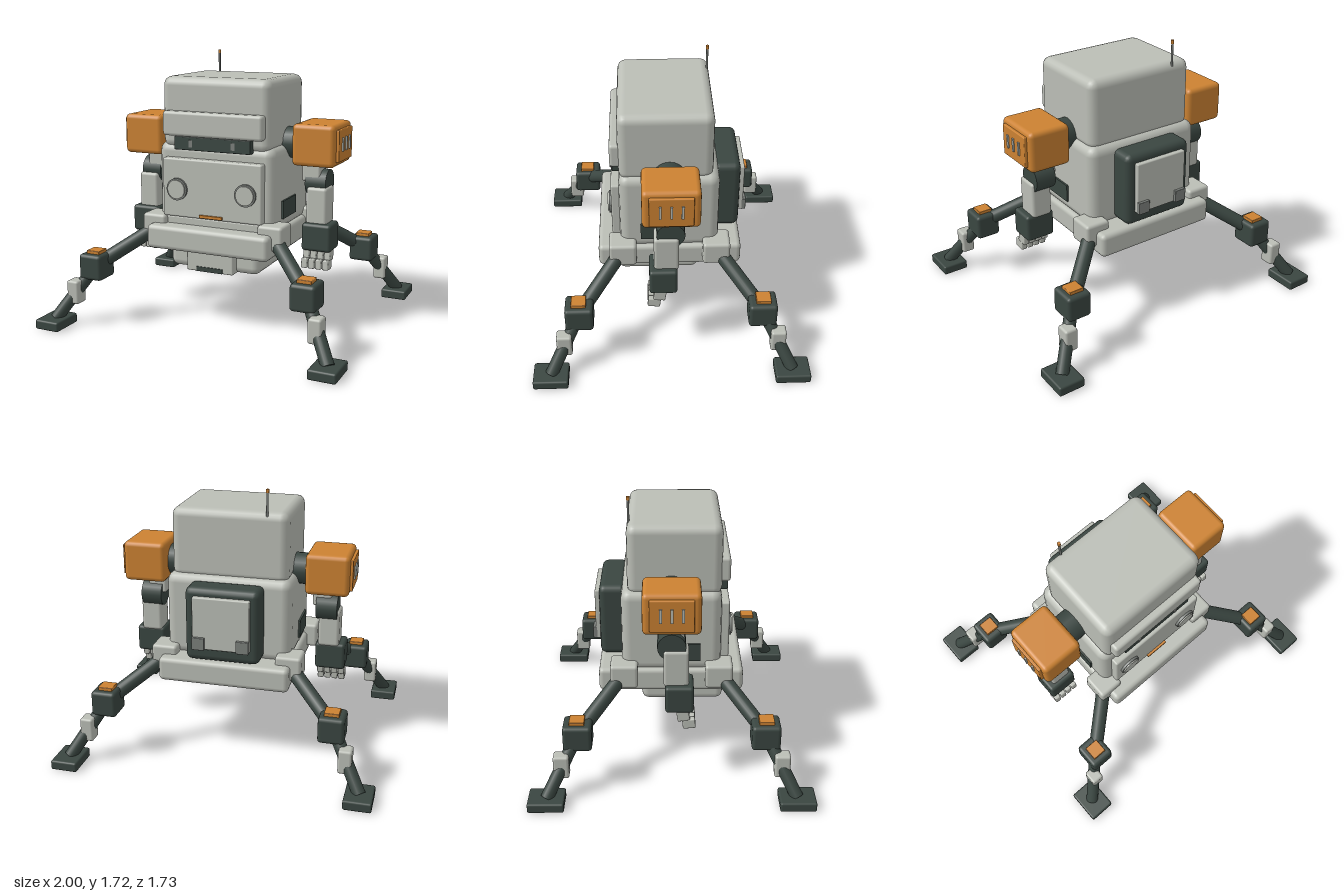
import * as THREE from 'three';
import { RoundedBoxGeometry } from 'three/addons/geometries/RoundedBoxGeometry.js';

const mat = (name, color) => {
  const m = new THREE.MeshStandardMaterial({ color });
  m.name = name;
  return m;
};

export function createModel() {
  const shell = mat('shell grey', 0xbbbeb6);
  const dark = mat('dark green grey', 0x3a4641);
  const orange = mat('orange', 0xcc8232);
  const metal = mat('metal grey', 0x7c807c);

  const root = new THREE.Group();
  root.name = 'robot';

  const add = (parent, name, geometry, material, x = 0, y = 0, z = 0) => {
    const mesh = new THREE.Mesh(geometry, material);
    mesh.name = name;
    mesh.position.set(x, y, z);
    parent.add(mesh);
    return mesh;
  };
  // Softened box given by its extents: [x0, x1], [y0, y1], [z0, z1]
  const block = (parent, name, material, [x0, x1], [y0, y1], [z0, z1], r = 0.015) => {
    const w = x1 - x0, h = y1 - y0, d = z1 - z0;
    const geo = r > 0 ? new RoundedBoxGeometry(w, h, d, 2, r) : new THREE.BoxGeometry(w, h, d);
    return add(parent, name, geo, material, (x0 + x1) / 2, (y0 + y1) / 2, (z0 + z1) / 2);
  };
  // Round bar between two points
  const bar = (parent, name, material, a, b, r) => {
    const p = new THREE.Vector3(...a), q = new THREE.Vector3(...b);
    const dir = q.clone().sub(p);
    const mesh = add(parent, name, new THREE.CylinderGeometry(r, r, dir.length(), 20), material);
    mesh.position.copy(p).add(q).multiplyScalar(0.5);
    mesh.quaternion.setFromUnitVectors(new THREE.Vector3(0, 1, 0), dir.normalize());
    return mesh;
  };
  const group = (name) => {
    const g = new THREE.Group();
    g.name = name;
    root.add(g);
    return g;
  };

  // Head with brow, visor and antenna
  const head = group('head');
  block(head, 'headShell', shell, [-0.37, 0.37], [1.13, 1.582], [-0.27, 0.31], 0.055);
  block(head, 'brow', shell, [-0.34, 0.34], [1.215, 1.37], [0.27, 0.36], 0.02);
  block(head, 'visor', dark, [-0.26, 0.26], [1.13, 1.215], [0.27, 0.35], 0.005);
  for (const s of [-1, 1]) {
    block(head, 'visorSlit', metal, [s * 0.145 - 0.012, s * 0.145 + 0.012], [1.15, 1.195], [0.345, 0.355], 0);
  }
  bar(head, 'antenna', metal, [-0.235, 1.5, -0.257], [-0.235, 1.7, -0.257], 0.007);
  bar(head, 'antennaTip', orange, [-0.235, 1.7, -0.257], [-0.235, 1.722, -0.257], 0.01);

  // Torso with front panel, round lamps and side vents
  const torso = group('torso');
  block(torso, 'torsoShell', shell, [-0.4, 0.4], [0.63, 1.17], [-0.31, 0.31], 0.06);
  block(torso, 'frontPanel', shell, [-0.34, 0.34], [0.7, 1.075], [0.27, 0.36], 0.012);
  block(torso, 'lowerCollar', shell, [-0.33, 0.33], [0.63, 0.7], [0.2, 0.345], 0.01);
  block(torso, 'mouthStrip', orange, [-0.078, 0.078], [0.71, 0.728], [0.355, 0.375], 0);
  for (const s of [-1, 1]) {
    bar(torso, 'lampRing', metal, [s * 0.235, 0.88, 0.35], [s * 0.235, 0.88, 0.375], 0.071);
    bar(torso, 'lampLens', shell, [s * 0.235, 0.88, 0.355], [s * 0.235, 0.88, 0.383], 0.06);
    const vent = block(torso, 'sideVent', dark, [-0.015, 0.015], [0.71, 0.825], [-0.04, 0.18], 0);
    vent.position.x = s * 0.397;
  }

  // Backpack
  const pack = group('backpack');
  block(pack, 'packShell', dark, [-0.235, 0.235], [0.66, 1.135], [-0.452, -0.28], 0.04);
  block(pack, 'packPlate', shell, [-0.18, 0.18], [0.75, 1.085], [-0.482, -0.43], 0.008);
  for (const s of [-1, 1]) {
    const clip = block(pack, 'packClip', metal, [-0.04, 0.04], [0.75, 0.83], [-0.5, -0.47], 0.004);
    clip.position.x = s * 0.14;
  }

  // Hip deck and belly
  const hips = group('hips');
  block(hips, 'deck', shell, [-0.418, 0.418], [0.497, 0.652], [-0.455, 0.45], 0.03);
  block(hips, 'belly', shell, [-0.31, 0.31], [0.365, 0.54], [-0.19, 0.33], 0.045);
  block(hips, 'bellyPlate', shell, [-0.16, 0.16], [0.368, 0.51], [0.29, 0.388], 0.008);
  block(hips, 'bellySlot', dark, [-0.09, 0.09], [0.37, 0.4], [0.38, 0.393], 0);

  // Arms, mirrored by the sign of x
  for (const s of [-1, 1]) {
    const arm = group(s > 0 ? 'leftArm' : 'rightArm');
    const span = (a, b) => (s > 0 ? [a, b] : [-b, -a]);
    bar(arm, 'shoulderAxle', dark, [s * 0.36, 1.17, 0], [s * 0.48, 1.17, 0], 0.1);
    block(arm, 'shoulder', orange, span(0.455, 0.73), [1.05, 1.31], [-0.172, 0.172], 0.03);
    block(arm, 'shoulderPlate', orange, span(0.71, 0.748), [1.082, 1.28], [-0.13, 0.13], 0.006);
    for (const z of [-0.065, 0, 0.065]) {
      block(arm, 'shoulderSlit', shell, span(0.745, 0.757), [1.145, 1.23], [z - 0.008, z + 0.008], 0);
    }
    block(arm, 'upperArm', shell, span(0.49, 0.61), [0.94, 1.08], [-0.05, 0.075]);
    bar(arm, 'elbow', dark, [s * 0.515, 0.93, 0], [s * 0.65, 0.93, 0], 0.086);
    block(arm, 'forearm', shell, span(0.53, 0.665), [0.67, 0.91], [-0.05, 0.103], 0.02);
    block(arm, 'wristGuard', dark, span(0.513, 0.705), [0.51, 0.685], [-0.04, 0.132], 0.02);
    // Four two-jointed fingers
    for (let i = 0; i < 4; i++) {
      const x = 0.539 + i * 0.046;
      const knuckle = block(arm, 'fingerBase', shell, span(x - 0.02, x + 0.02), [0.45, 0.53], [0.03, 0.105], 0.008);
      const tip = block(arm, 'fingerTip', shell, span(x - 0.02, x + 0.02), [0.397, 0.46], [0.065, 0.143], 0.008);
      knuckle.rotation.x = -0.15;
      tip.rotation.x = -0.1;
    }
  }

  // Four legs, mirrored in x and z
  for (const sx of [-1, 1]) for (const sz of [-1, 1]) {
    const leg = group((sz > 0 ? 'front' : 'back') + (sx > 0 ? 'Left' : 'Right') + 'Leg');
    const part = (name, material, [x, y, z], [w, h, d], r) =>
      add(leg, name, new RoundedBoxGeometry(w, h, d, 2, r), material, sx * x, y, sz * z);
    const at = (x, y, z) => [sx * x, y, sz * z];
    part('hipBlock', shell, [0.4, 0.628, 0.295], [0.165, 0.155, 0.172], 0.02);
    bar(leg, 'thigh', dark, at(0.42, 0.6, 0.315), at(0.718, 0.38, 0.57), 0.046);
    part('knee', dark, [0.718, 0.38, 0.57], [0.16, 0.165, 0.175], 0.022);
    part('kneePad', orange, [0.715, 0.468, 0.572], [0.092, 0.03, 0.092], 0.004);
    bar(leg, 'shin', dark, at(0.718, 0.38, 0.57), at(0.915, 0.05, 0.755), 0.04);
    part('ankleCuff', shell, [0.815, 0.22, 0.668], [0.083, 0.152, 0.095], 0.015);
    part('foot', dark, [0.915, 0.031, 0.757], [0.17, 0.062, 0.22], 0.012);
  }

  return root;
}
